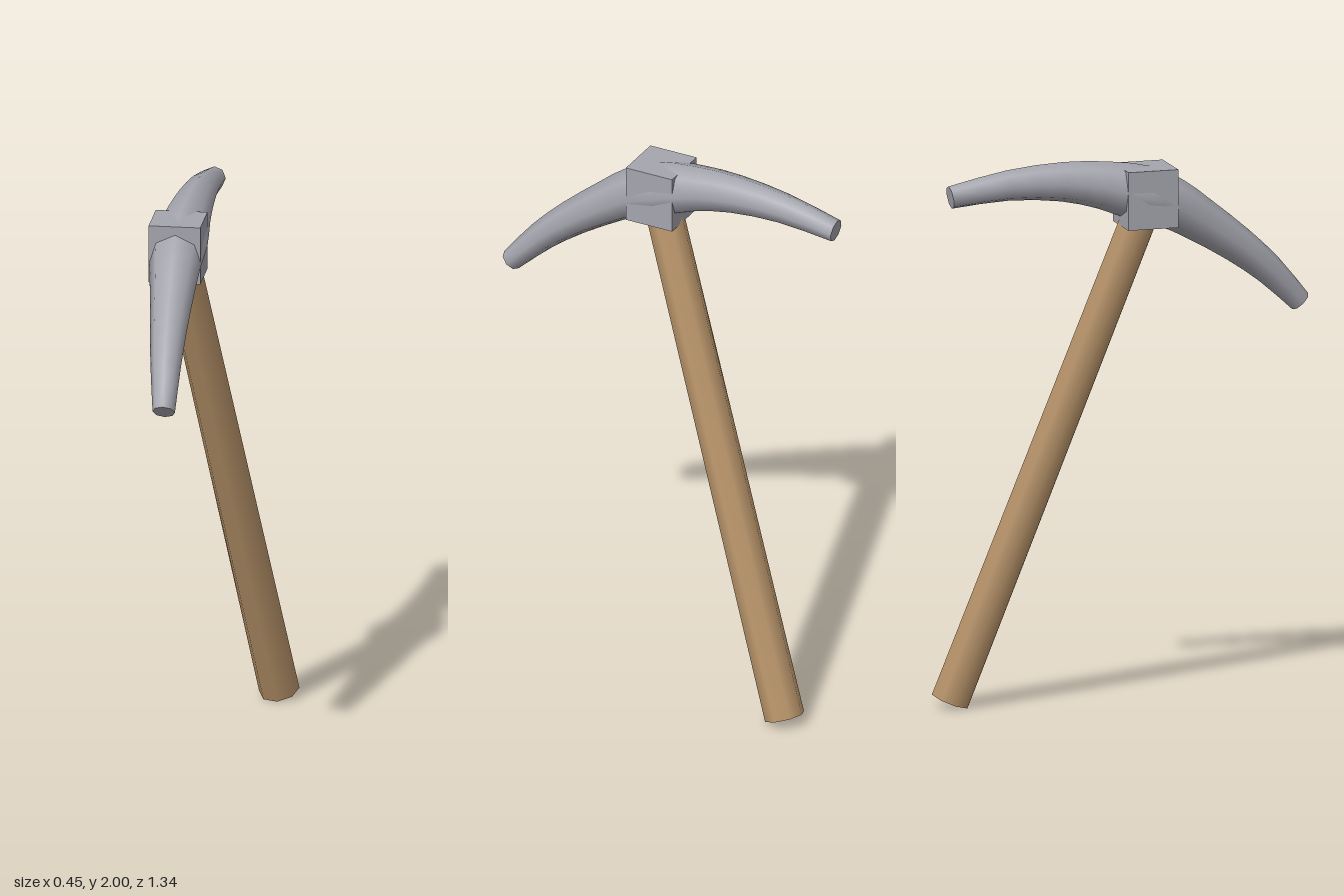
import * as THREE from 'three';
import { toCreasedNormals } from 'three/addons/utils/BufferGeometryUtils.js';

// Stations along the pick head, front tip to back tip: z, y, x, radius
const STATIONS = [
  [0.64, 1.44, -0.093, 0.04],
  [0.52, 1.565, -0.103, 0.054],
  [0.4, 1.665, -0.11, 0.066],
  [0.25, 1.77, -0.116, 0.081],
  [0.15, 1.832, -0.12, 0.093],
  [0.05, 1.87, -0.122, 0.103],
  [-0.1, 1.91, -0.116, 0.086],
  [-0.25, 1.93, -0.109, 0.071],
  [-0.45, 1.927, -0.101, 0.055],
  [-0.66, 1.895, -0.093, 0.041],
];

// Eight-sided bar bent along the arc, thickest in the middle
function headGeometry() {
  const path = new THREE.CatmullRomCurve3(STATIONS.map(([z, y, x]) => new THREE.Vector3(x, y, z)));
  const radii = new THREE.CatmullRomCurve3(STATIONS.map(([z, , , r]) => new THREE.Vector3(r, 0, z)));
  const geometry = new THREE.CylinderGeometry(1, 1, 1, 8, 18);
  const pos = geometry.attributes.position;
  const side = new THREE.Vector3(1, 0, 0);
  const v = new THREE.Vector3();
  for (let i = 0; i < pos.count; i++) {
    v.fromBufferAttribute(pos, i);
    const t = THREE.MathUtils.clamp(v.y + 0.5, 0, 1);
    const tangent = path.getTangent(t).setX(0).normalize();
    const up = new THREE.Vector3().crossVectors(side, tangent);
    const r = radii.getPoint(t).x;
    const p = path.getPoint(t).addScaledVector(side, v.x * r).addScaledVector(up, v.z * r);
    pos.setXYZ(i, p.x, p.y, p.z);
  }
  return toCreasedNormals(geometry, Math.PI / 3);
}

export function createModel() {
  const model = new THREE.Group();
  model.name = 'pickaxe';
  const metal = new THREE.MeshStandardMaterial({ color: 0xa5a5ae });
  metal.name = 'grey metal';
  const wood = new THREE.MeshStandardMaterial({ color: 0xb8946a });
  wood.name = 'brown wood';

  const add = (name, geometry, material) => {
    const mesh = new THREE.Mesh(geometry, material);
    mesh.name = name;
    model.add(mesh);
    return mesh;
  };

  // Curved head and the square socket around its middle
  add('pickHead', headGeometry(), metal);
  add('socket', new THREE.BoxGeometry(0.185, 0.21, 0.185), metal).position.set(-0.123, 1.865, 0.056);

  // Slanted handle running up into the socket
  const bottom = new THREE.Vector3(0.15, 0.027, -0.583);
  const top = new THREE.Vector3(-0.119, 1.85, 0.06);
  const axis = top.clone().sub(bottom);
  const handle = add('handle', new THREE.CylinderGeometry(0.068, 0.073, axis.length(), 8), wood);
  handle.position.copy(bottom).add(top).multiplyScalar(0.5);
  handle.quaternion.setFromUnitVectors(new THREE.Vector3(0, 1, 0), axis.normalize());

  return model;
}
